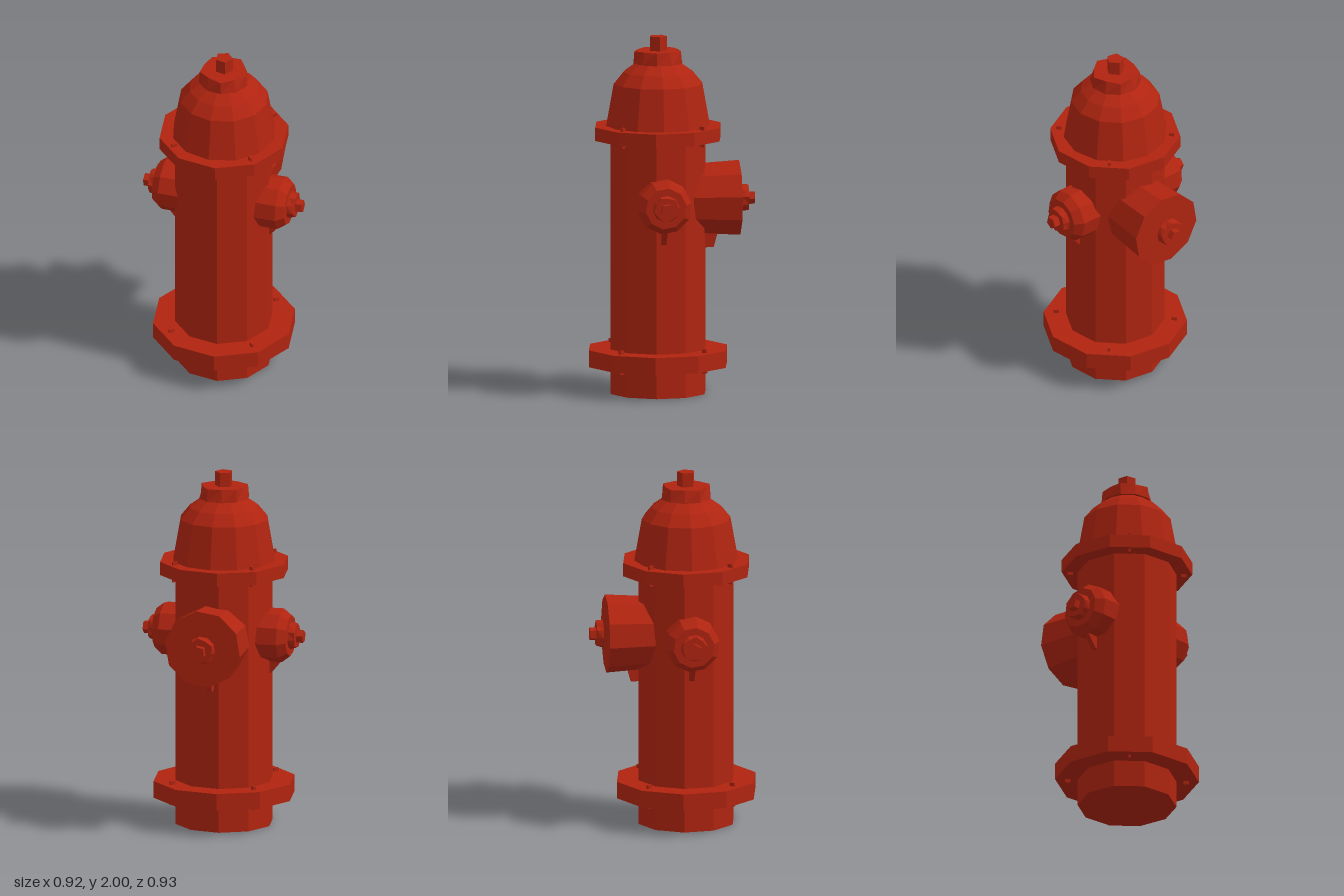
import * as THREE from 'three';

const AXIS_Z = 0.07;
const TURN = THREE.MathUtils.degToRad(9.3);
const red = new THREE.MeshStandardMaterial({ color: 0xb02410, flatShading: true, side: THREE.DoubleSide });

function mesh(name, geometry, parent) {
  const m = new THREE.Mesh(geometry, red);
  m.name = name;
  parent.add(m);
  return m;
}

// Upright prism from y0 to y1
function prism(name, parent, rBottom, rTop, y0, y1, sides, turn = TURN) {
  const g = new THREE.CylinderGeometry(rTop, rBottom, y1 - y0, sides, 1, false, turn);
  g.translate(0, (y0 + y1) / 2, 0);
  return mesh(name, g, parent);
}

function lathe(name, parent, points, sides, turn = TURN) {
  const profile = points.map(([r, y]) => new THREE.Vector2(r, y));
  return mesh(name, new THREE.LatheGeometry(profile, sides, turn), parent);
}

// Ten-sided nut with every second top corner cut back, and a five-sided stud
function nutAndStud(parent, name, r, height, studR, studHeight) {
  const g = new THREE.Group();
  g.name = name;
  const nut = prism('nut', g, r, r * 0.96, 0, height, 10);
  const p = nut.geometry.attributes.position;
  for (let i = 0; i < p.count; i++) {
    if (p.getY(i) < height / 2) continue;
    const k = Math.round((Math.atan2(p.getX(i), p.getZ(i)) - TURN) / (Math.PI / 5));
    if (k % 2) p.setXYZ(i, p.getX(i) * 0.88, p.getY(i), p.getZ(i) * 0.88);
  }
  prism('stud', g, studR, studR, height, height + studHeight, 5, 0.42);
  parent.add(g);
  return g;
}

// Flange ring with four slim bolts through it
function flange(parent, name, r, y0, y1, boltR) {
  const g = new THREE.Group();
  g.name = name;
  prism('ring', g, r, r, y0, y1, 10);
  for (let i = 0; i < 4; i++) {
    const a = Math.PI / 4 + i * Math.PI / 2;
    const bolt = mesh('bolt', new THREE.BoxGeometry(0.03, y1 - y0 + 0.04, 0.014), g);
    bolt.position.set(Math.sin(a) * boltR, (y0 + y1) / 2, Math.cos(a) * boltR);
    bolt.rotation.y = a + Math.PI / 2;
  }
  parent.add(g);
}

// Thin bracket in the outward/up plane
function bracket(parent, points) {
  const shape = new THREE.Shape(points.map(([x, y]) => new THREE.Vector2(x, y)));
  const g = new THREE.ExtrudeGeometry(shape, { depth: 0.03, bevelEnabled: false });
  g.translate(0, 0, -0.015);
  return mesh('bracket', g, parent);
}

export function createModel() {
  const model = new THREE.Group();
  model.name = 'hydrant';
  const core = new THREE.Group();
  core.name = 'core';
  core.position.z = AXIS_Z;
  model.add(core);

  // Barrel and flanges
  prism('barrel', core, 0.275, 0.275, 0, 1.45, 10);
  flange(core, 'baseFlange', 0.4, 0.155, 0.25, 0.33);
  flange(core, 'upperFlange', 0.363, 1.425, 1.5, 0.315);

  // Bonnet and operating nut
  lathe('bonnet', core, [[0.29, 1.5], [0.248, 1.735], [0.195, 1.8], [0.125, 1.85], [0, 1.85]], 12, 0);
  nutAndStud(core, 'topNut', 0.142, 0.07, 0.05, 0.08).position.y = 1.85;

  // Side outlets
  for (const side of [1, -1]) {
    const outlet = new THREE.Group();
    outlet.name = side > 0 ? 'leftOutlet' : 'rightOutlet';
    outlet.position.y = 1.085;
    outlet.rotation.z = -side * Math.PI / 2;
    lathe('cap', outlet, [[0.15, 0.18], [0.15, 0.34], [0.115, 0.385], [0, 0.385]], 10);
    nutAndStud(outlet, 'capNut', 0.075, 0.037, 0.037, 0.038).position.y = 0.385;
    core.add(outlet);
    const fin = bracket(core, [[0.25, 0.86], [0.275, 0.87], [0.34, 0.95], [0.25, 0.95]]);
    if (side < 0) fin.rotation.y = Math.PI;
  }

  // Large rear outlet
  const rear = new THREE.Group();
  rear.name = 'rearOutlet';
  rear.position.y = 1.085;
  rear.rotation.x = -Math.PI / 2;
  prism('cap', rear, 0.2, 0.218, 0.18, 0.45, 10);
  nutAndStud(rear, 'capNut', 0.078, 0.037, 0.037, 0.036).position.y = 0.467;
  core.add(rear);
  bracket(core, [[0.25, 0.81], [0.31, 0.81], [0.335, 0.9], [0.25, 0.9]]).rotation.y = Math.PI / 2;

  return model;
}
